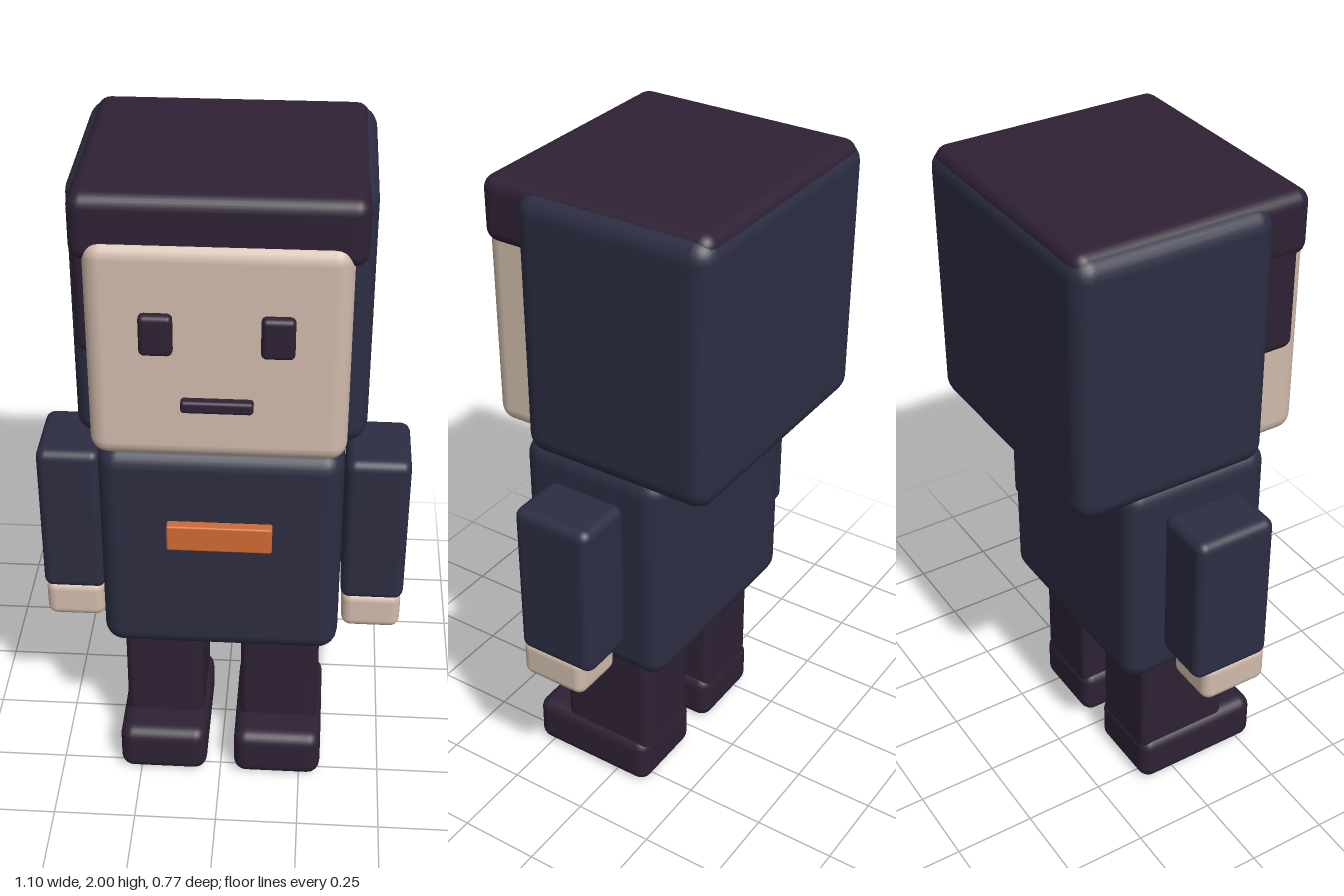
import * as THREE from 'three';
import { RoundedBoxGeometry } from 'three/addons/geometries/RoundedBoxGeometry.js';

const paint = (name, color) => {
  const m = new THREE.MeshStandardMaterial({ color });
  m.name = name;
  return m;
};

export function createModel() {
  const navy = paint('navy cloth', 0x2c2d42);
  const plum = paint('dark plum', 0x2e2134);
  const skin = paint('skin', 0xd0bbab);
  const orange = paint('orange', 0xce6a34);

  const model = new THREE.Group();
  model.name = 'blockFigure';

  // Rounded block given by its extents on each axis
  function block(parent, name, material, [x0, x1], [y0, y1], [z0, z1], radius) {
    const geometry = new RoundedBoxGeometry(x1 - x0, y1 - y0, z1 - z0, 3, radius);
    const mesh = new THREE.Mesh(geometry, material);
    mesh.name = name;
    mesh.position.set((x0 + x1) / 2, (y0 + y1) / 2, (z0 + z1) / 2);
    parent.add(mesh);
    return mesh;
  }

  // Head: hood, face, hair cap and a single side lock
  const head = new THREE.Group();
  head.name = 'head';
  model.add(head);
  block(head, 'hood', navy, [-0.41, 0.41], [1.2, 1.992], [-0.385, 0.22], 0.06);
  block(head, 'face', skin, [-0.353, 0.353], [1.23, 1.878], [0, 0.358], 0.05);
  block(head, 'hairCap', plum, [-0.388, 0.388], [1.81, 2], [-0.375, 0.338], 0.04);
  block(head, 'sideLock', plum, [-0.383, -0.3], [1.53, 1.86], [0.1, 0.31], 0.03);
  block(head, 'mouth', plum, [-0.098, 0.098], [1.395, 1.432], [0.34, 0.384], 0.01);

  // Torso with chest badge
  block(model, 'torso', navy, [-0.352, 0.352], [0.49, 1.195], [-0.2, 0.277], 0.06);
  block(model, 'badge', orange, [-0.152, 0.152], [0.882, 0.966], [0.26, 0.307], 0.006);

  // Paired parts, mirrored across x
  for (const [side, s] of [['left', 1], ['right', -1]]) {
    const pair = (parent, part, material, [inner, outer], y, z, radius) =>
      block(parent, side + part, material, s > 0 ? [inner, outer] : [-outer, -inner], y, z, radius);

    pair(head, 'Eye', plum, [0.116, 0.206], [1.566, 1.685], [0.34, 0.384], 0.015);

    const arm = new THREE.Group();
    arm.name = side + 'Arm';
    pair(arm, 'Sleeve', navy, [0.358, 0.548], [0.61, 1.107], [-0.094, 0.16], 0.03);
    pair(arm, 'Hand', skin, [0.364, 0.542], [0.505, 0.632], [-0.055, 0.162], 0.03);

    const leg = new THREE.Group();
    leg.name = side + 'Leg';
    pair(leg, 'Trouser', plum, [0.058, 0.3], [0.08, 0.56], [-0.114, 0.188], 0.025);
    pair(leg, 'Shoe', plum, [0.043, 0.315], [0, 0.162], [-0.118, 0.3], 0.04);
    model.add(arm, leg);
  }

  return model;
}
